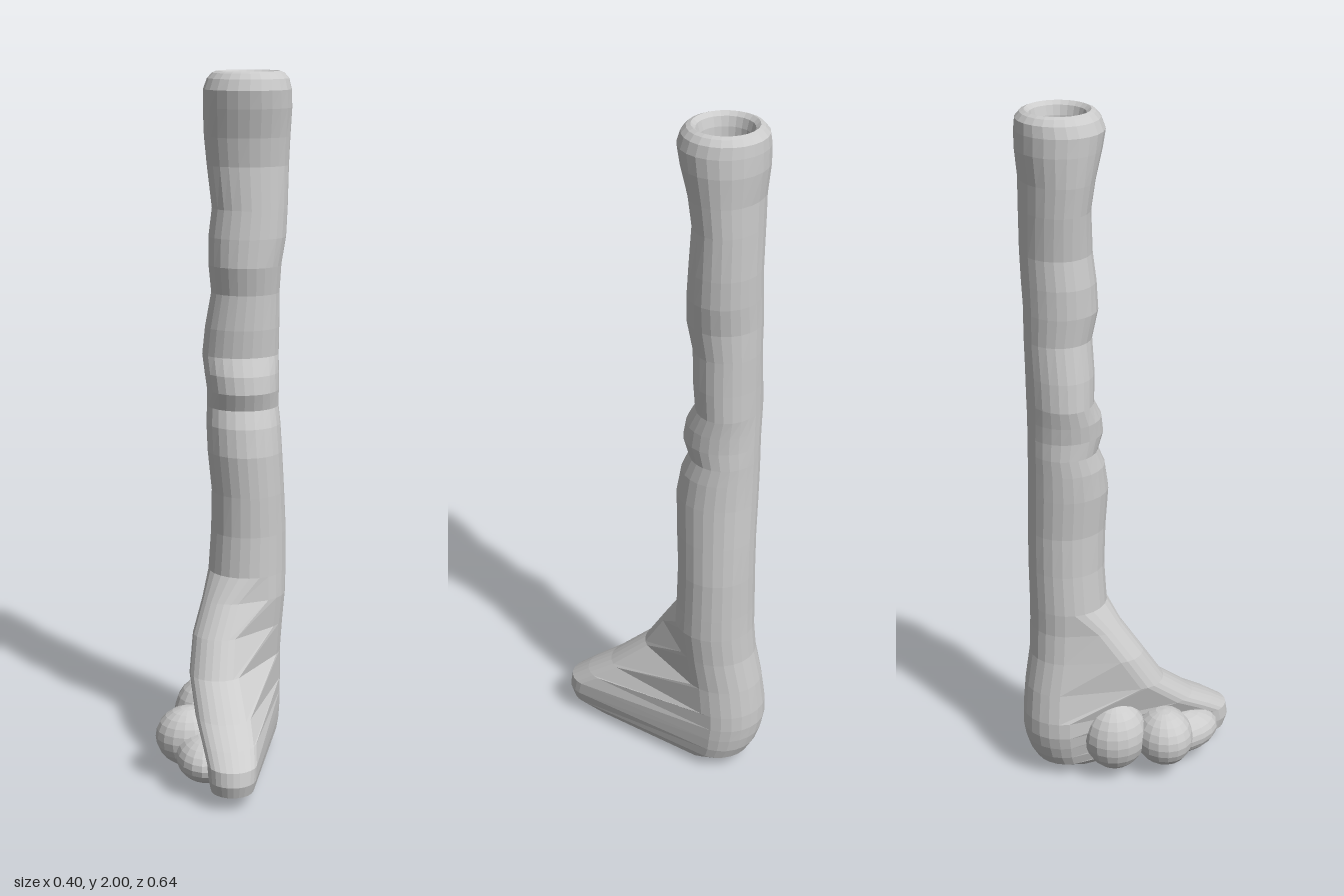
import * as THREE from 'three';

const SIDES = 24;
const material = new THREE.MeshStandardMaterial({ color: 0xcccccc, flatShading: true });

// Outline around a rear ellipse c and an optional forward circle t
function ring(y, c, t) {
  const points = [];
  for (let i = 0; i < SIDES; i++) {
    const a = (i / SIDES) * Math.PI * 2, ca = Math.cos(a), sa = Math.sin(a);
    let x = c[0] + c[2] * ca, z = c[1] + c[3] * sa;
    if (t) {
      const tx = t[0] + t[2] * ca, tz = t[1] + t[2] * sa;
      if (tx * ca + tz * sa > x * ca + z * sa) { x = tx; z = tz; }
    }
    points.push(x, y, z);
  }
  return points;
}

// Skin a stack of rings, listed from the sole up and then into the opening
function loft(rings) {
  const index = [];
  for (let r = 0; r < rings.length - 1; r++) {
    for (let i = 0; i < SIDES; i++) {
      const j = (i + 1) % SIDES, a = r * SIDES + i, b = r * SIDES + j;
      index.push(a, a + SIDES, b, b, a + SIDES, b + SIDES);
    }
  }
  const g = new THREE.BufferGeometry();
  g.setAttribute('position', new THREE.Float32BufferAttribute(rings.flat(), 3));
  g.setIndex(index);
  g.computeVertexNormals();
  return g;
}

// Foot: y, heel centre x, z, radii x, z, toe centre x, z, radius
const foot = [
  [0.00, 0.04, 0.02, 0, 0, 0.04, 0.02, 0],
  [0.005, 0.05, -0.04, 0.04, 0.04, 0.03, 0.08, 0.03],
  [0.02, 0.07, -0.14, 0.075, 0.08, 0.02, 0.18, 0.05],
  [0.045, 0.07, -0.18, 0.095, 0.10, 0.01, 0.25, 0.06],
  [0.08, 0.067, -0.19, 0.105, 0.11, 0.01, 0.255, 0.067],
  [0.12, 0.063, -0.195, 0.112, 0.118, 0.01, 0.245, 0.07],
  [0.16, 0.06, -0.2, 0.116, 0.12, 0.005, 0.185, 0.077],
  [0.21, 0.06, -0.2, 0.116, 0.12, -0.005, 0.105, 0.083],
  [0.30, 0.065, -0.192, 0.11, 0.118, -0.02, 0.0, 0.082],
  [0.40, 0.07, -0.177, 0.11, 0.114, -0.01, -0.06, 0.08],
  [0.49, 0.075, -0.17, 0.112, 0.115, 0.02, -0.115, 0.08],
];

// Shaft: y, left edge x, right edge x, front edge z
const shaft = [
  [0.56, -0.04, 0.188, -0.06], [0.68, -0.032, 0.188, -0.065],
  [0.80, -0.03, 0.182, -0.06], [0.92, -0.042, 0.175, -0.055],
  [1.00, -0.045, 0.17, -0.068], [1.05, -0.043, 0.165, -0.09],
  [1.10, -0.043, 0.165, -0.072], [1.15, -0.05, 0.165, -0.08],
  [1.20, -0.056, 0.165, -0.106], [1.28, -0.048, 0.166, -0.10],
  [1.38, -0.03, 0.166, -0.10], [1.46, -0.038, 0.17, -0.082],
  [1.54, -0.038, 0.183, -0.085], [1.62, -0.028, 0.187, -0.092],
  [1.74, -0.042, 0.19, -0.10], [1.82, -0.05, 0.193, -0.088],
  [1.90, -0.053, 0.197, -0.066], [1.95, -0.053, 0.195, -0.056],
];

// Rolled rim and hollow: y, fraction of the rim radius
const rim = [[1.98, 0.94], [1.995, 0.83], [2.0, 0.73], [1.99, 0.63],
  [1.965, 0.57], [1.92, 0.54], [1.88, 0.43], [1.86, 0.25], [1.855, 0]];

export function createModel() {
  const model = new THREE.Group();

  const rings = foot.map(([y, cx, cz, rx, rz, ...toe]) => ring(y, [cx, cz, rx, rz], toe));
  for (const [y, l, r, f] of shaft) {
    const back = y > 1.88 ? -0.293 : -0.284;
    rings.push(ring(y, [(l + r) / 2, (f + back) / 2, (r - l) / 2, (f - back) / 2]));
  }
  for (const [y, s] of rim) rings.push(ring(y, [0.073, -0.178, 0.122 * s, 0.119 * s]));
  const leg = new THREE.Mesh(loft(rings), material);
  leg.name = 'legAndFoot';
  model.add(leg);

  // Swellings on the side of the foot: name, centre, radii
  const swellings = [
    ['sideKnob', [-0.105, 0.125, 0.05], [0.097, 0.088, 0.085]],
    ['ankleSwelling', [-0.055, 0.14, -0.085], [0.09, 0.11, 0.095]],
    ['ballOfFoot', [-0.06, 0.095, 0.13], [0.085, 0.065, 0.12]],
  ];
  for (const [name, centre, radii] of swellings) {
    const mesh = new THREE.Mesh(new THREE.SphereGeometry(1, 18, 12), material);
    mesh.scale.set(...radii);
    mesh.position.set(...centre);
    mesh.name = name;
    model.add(mesh);
  }
  return model;
}
